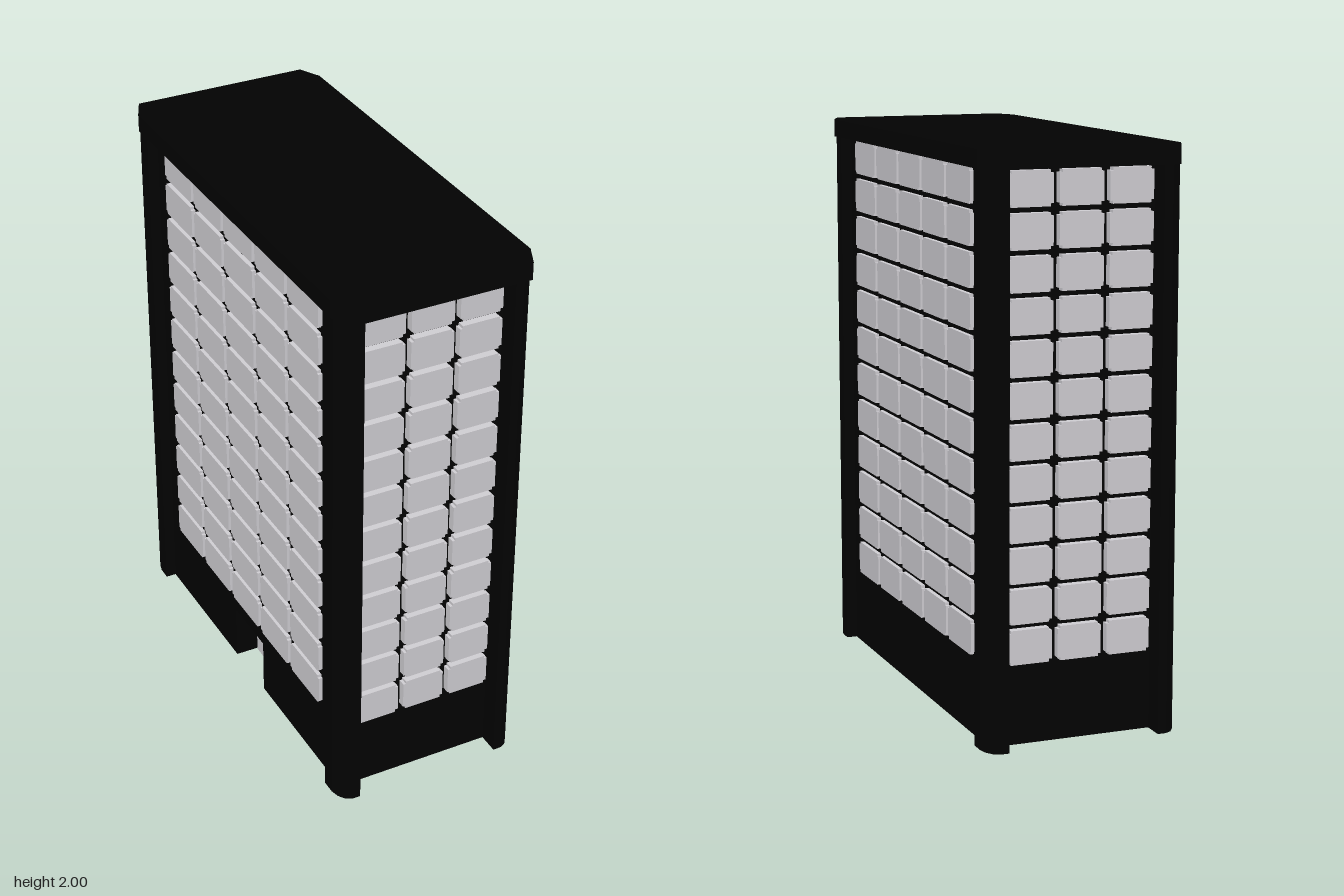
import * as THREE from 'three';
import { mergeGeometries } from 'three/addons/utils/BufferGeometryUtils.js';

const WALL_X = 0.312, WALL_Z = 0.73;   // wall planes, set back between the corner columns
const DOOR_HALF = 0.115, DOOR_X = -0.222, DOOR_TOP = 0.21;

const material = (name, color) => {
  const m = new THREE.MeshStandardMaterial({ color });
  m.name = name;
  return m;
};

// Mirrors one corner (listed counterclockwise) into a full plan outline; extra points go on the -x side
function planShape(corner, extra = []) {
  const flip = (sx, sz) => corner.map(([x, z]) => [x * sx, z * sz]);
  const points = [
    ...flip(1, 1),
    ...flip(-1, 1).reverse(),
    ...extra,
    ...flip(-1, -1),
    ...flip(1, -1).reverse(),
  ];
  return new THREE.Shape(points.map(([x, z]) => new THREE.Vector2(x, z)));
}

// Raises a plan outline from y0 to y1
function slab(shape, y0, y1) {
  return new THREE.ExtrudeGeometry(shape, { depth: y1 - y0, bevelEnabled: false })
    .rotateX(-Math.PI / 2)
    .translate(0, y0, 0);
}

// Window panel with small square notches at its corners
function panelGeometry(w, h, depth) {
  const n = 0.01, a = w / 2, b = h / 2;
  const shape = planShape([[a, b - n], [a - n, b - n], [a - n, b]]);
  return new THREE.ExtrudeGeometry(shape, { depth, bevelEnabled: false });
}

// Grid of window panels standing out from a wall that faces +z at the given distance
function windowGrid(columns, pitch, width, distance, depth) {
  const rows = 12, rowPitch = 0.1385, height = 0.119, bottom = 0.285;
  const panels = [];
  for (let r = 0; r < rows; r++) {
    for (let c = 0; c < columns; c++) {
      panels.push(panelGeometry(width, height, depth).translate(
        (c - (columns - 1) / 2) * pitch, bottom + height / 2 + r * rowPitch, distance));
    }
  }
  return mergeGeometries(panels);
}

export function createModel() {
  const black = material('black cladding', 0x020202);
  const grey = material('pale grey glass', 0xd0ced3);
  const model = new THREE.Group();
  model.name = 'towerBlock';

  const add = (name, geometry, mat) => {
    const mesh = new THREE.Mesh(geometry, mat);
    mesh.name = name;
    model.add(mesh);
    return mesh;
  };

  // Tower with rounded corner columns; the ground floor has a door recess
  const corner = [
    [WALL_X, 0.69], [0.35, 0.69], [0.35, 0.74], [0.342, 0.772], [0.325, 0.796],
    [0.302, 0.808], [0.272, 0.808], [0.272, WALL_Z],
  ];
  const recess = [
    [-WALL_X, DOOR_HALF], [DOOR_X, DOOR_HALF], [DOOR_X, -DOOR_HALF], [-WALL_X, -DOOR_HALF],
  ];
  add('groundFloor', slab(planShape(corner, recess), 0, DOOR_TOP), black);
  add('tower', slab(planShape(corner), DOOR_TOP, 1.94), black);

  // Flat roof with clipped corners
  add('roof', slab(planShape([[0.36, 0.74], [0.322, 0.822]]), 1.936, 2), black);

  // Door at the back of the recess
  const door = new THREE.BoxGeometry(0.008, DOOR_TOP - 0.01, DOOR_HALF * 2 - 0.01);
  add('door', door.translate(DOOR_X - 0.004, (DOOR_TOP - 0.01) / 2, 0), grey);

  // Window panels on all four walls
  const endGrid = windowGrid(3, 0.178, 0.157, WALL_Z, 0.028);
  const sideGrid = windowGrid(5, 0.2425, 0.222, WALL_X, 0.015);
  add('frontWindows', endGrid, grey);
  add('leftWindows', sideGrid, grey).rotation.y = Math.PI / 2;
  add('backWindows', endGrid, grey).rotation.y = Math.PI;
  add('rightWindows', sideGrid, grey).rotation.y = -Math.PI / 2;

  return model;
}
